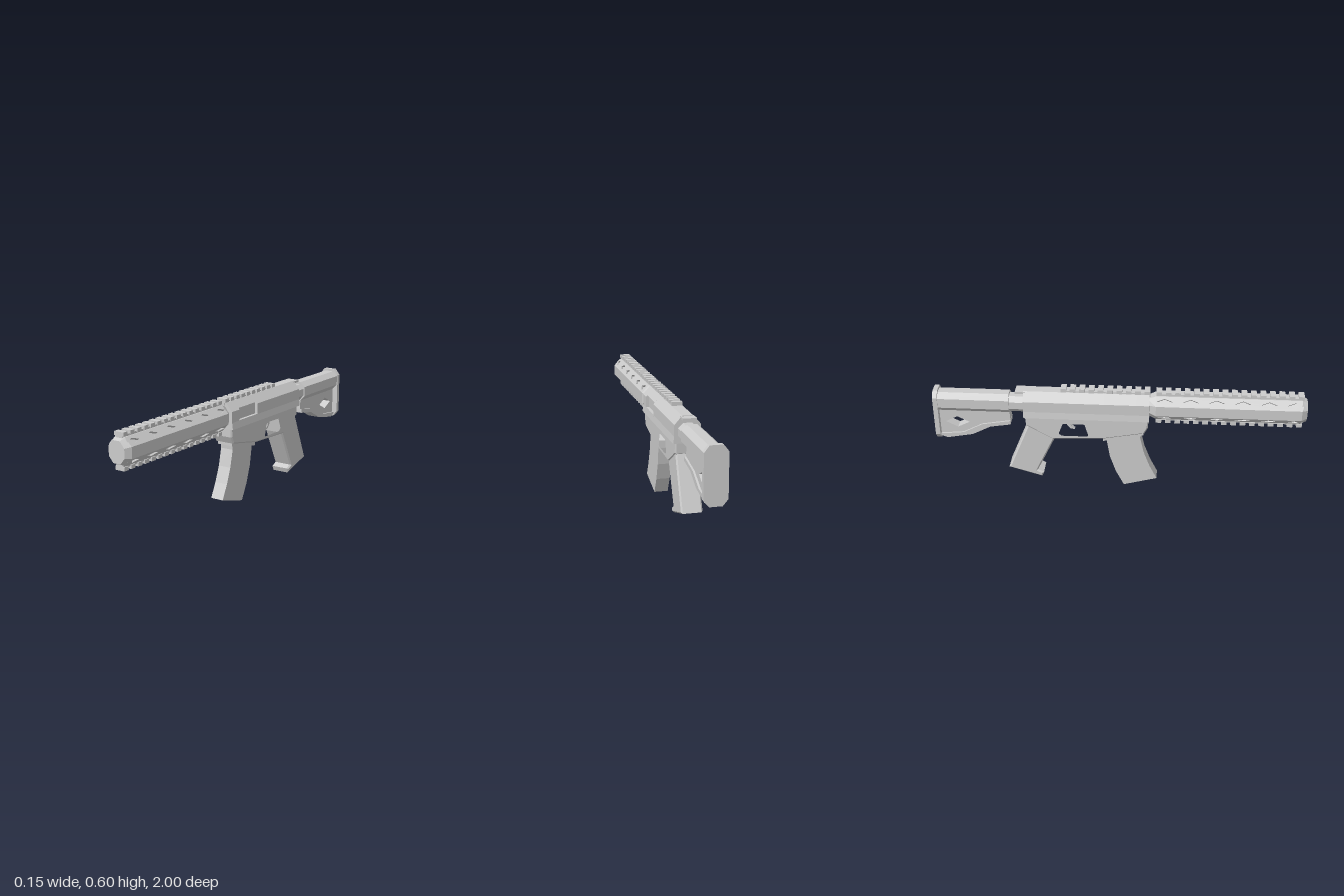
import * as THREE from 'three';

const material = new THREE.MeshStandardMaterial({ color: 0xcccccc, flatShading: true });

function add(parent, name, geometry) {
  const mesh = new THREE.Mesh(geometry, material);
  mesh.name = name;
  parent.add(mesh);
  return mesh;
}

const shapeOf = (pts) => new THREE.Shape(pts.map(([a, b]) => new THREE.Vector2(a, b)));
const holeOf = (pts) => new THREE.Path(pts.map(([a, b]) => new THREE.Vector2(a, b)));
const diamond = (u, v, ru, rv) => [[u - ru, v], [u, v - rv], [u + ru, v], [u, v + rv]];

// Side outline in (z, y), given thickness centred on x = 0, optional chamfer
function slab(pts, halfWidth, bevel = 0, holes = []) {
  const shape = shapeOf(pts);
  shape.holes = holes.map(holeOf);
  const depth = 2 * (halfWidth - bevel);
  const geo = new THREE.ExtrudeGeometry(shape, {
    depth, bevelEnabled: bevel > 0, bevelThickness: bevel, bevelSize: bevel,
    bevelOffset: -bevel, bevelSegments: 1, curveSegments: 4,
  });
  return geo.translate(0, 0, -depth / 2).rotateY(-Math.PI / 2);
}

// Cross-section in (x, y) run from z0 to z1
function prism(pts, z0, z1) {
  return new THREE.ExtrudeGeometry(shapeOf(pts), { depth: z1 - z0, bevelEnabled: false }).translate(0, 0, z0);
}

function box(w, y0, y1, z0, z1) {
  return new THREE.BoxGeometry(w, y1 - y0, z1 - z0).translate(0, (y0 + y1) / 2, (z0 + z1) / 2);
}

// Counter-clockwise octagon: half widths of sides and of flats, vertical extents
const octagon = (w, t, top, upper, lower, bottom) => [
  [w, lower], [w, upper], [t, top], [-t, top], [-w, upper], [-w, lower], [-t, bottom], [t, bottom],
];

// Closed loft between two octagons, z0 < z1
function loft(a, z0, b, z1) {
  const n = a.length, pos = [], idx = [];
  a.forEach(([x, y]) => pos.push(x, y, z0));
  b.forEach(([x, y]) => pos.push(x, y, z1));
  for (let i = 0; i < n; i++) {
    const j = (i + 1) % n;
    idx.push(i, j, n + j, i, n + j, n + i);
    if (i > 0 && i < n - 1) idx.push(0, i + 1, i, n, n + i, n + i + 1);
  }
  const geo = new THREE.BufferGeometry();
  geo.setAttribute('position', new THREE.Float32BufferAttribute(pos, 3));
  geo.setIndex(idx);
  const flat = geo.toNonIndexed();
  flat.computeVertexNormals();
  return flat;
}

// Toothed rail; dir is +1 for an upward rail and -1 for a downward one
function rail(parent, name, y, dir, z0, z1, count) {
  const group = new THREE.Group();
  group.name = name;
  parent.add(group);
  const span = (a, b) => (dir > 0 ? [y + a, y + b] : [y - b, y - a]);
  add(group, 'railBase', box(0.044, ...span(-0.01, 0.01), z0, z1));
  const step = (z1 - z0 - 0.03) / (count - 1);
  for (let i = 0; i < count; i++) {
    const z = z0 + i * step;
    add(group, 'railTooth', box(0.056, ...span(0.004, 0.024), z, z + 0.03));
  }
}

function buildHandguard(root) {
  const group = new THREE.Group();
  group.name = 'handguard';
  root.add(group);
  const cy = 0.501, W = 0.068, T = 0.028, U = 0.029, H = 0.07, inset = 0.012;
  const z0 = 0.2, z1 = 0.97, len = z1 - z0;
  const face = Math.hypot(W - T, H - U);
  const nx = (H - U) / face, ny = (W - T) / face;

  // Core with its four slanted sides sunk
  const core = [];
  for (const [sx, sy] of [[1, 1], [-1, 1], [-1, -1], [1, -1]]) {
    const corner = [
      [W, U], [W - nx * inset, U - ny * inset], [T - nx * inset, H - ny * inset], [T, H],
    ].map(([x, y]) => [sx * x, cy + sy * y]);
    core.push(...(sx * sy > 0 ? corner : corner.reverse()));
  }
  add(group, 'handguardCore', prism(core, z0, z1));

  // Slanted panels with diamond openings
  for (const sx of [1, -1]) for (const sy of [1, -1]) {
    const shape = shapeOf([[0, -face / 2], [len, -face / 2], [len, face / 2], [0, face / 2]]);
    for (let i = 0; i < 6; i++) shape.holes.push(holeOf(diamond(0.046 + i * 0.138, 0, 0.042, 0.016)));
    const geo = new THREE.ExtrudeGeometry(shape, { depth: inset, bevelEnabled: false });
    const n = new THREE.Vector3(sx * nx, sy * ny, 0);
    const m = new THREE.Matrix4().makeBasis(
      new THREE.Vector3(0, 0, 1), new THREE.Vector3(n.y, -n.x, 0), n);
    m.setPosition(sx * ((W + T) / 2 - nx * inset), cy + sy * ((H + U) / 2 - ny * inset), z0);
    add(group, 'handguardPanel', geo.applyMatrix4(m));
  }

  // Tapered ends
  const full = octagon(W, T, cy + H, cy + U, cy - U, cy - H);
  const front = octagon(0.048, 0.022, cy + 0.056, cy + 0.024, cy - 0.024, cy - 0.056);
  const rear = octagon(0.042, 0.022, cy + 0.05, cy + 0.022, cy - 0.022, cy - 0.05);
  add(group, 'handguardFrontEnd', loft(full, z1, front, 1));
  add(group, 'handguardRearEnd', loft(rear, 0.155, full, z0));

  rail(group, 'handguardTopRail', cy + H, 1, 0.2, 0.98, 16);
  rail(group, 'handguardBottomRail', cy - H, -1, 0.2, 0.98, 16);
}

function buildReceiver(root) {
  // Upper body in three lengths, the middle one notched on the left for the port
  const right = [[-0.028, 0.577], [-0.068, 0.532], [-0.068, 0.472], [-0.073, 0.435]];
  const left = [[0.073, 0.435], [0.068, 0.472], [0.068, 0.532], [0.028, 0.577]];
  const notched = [[0.073, 0.435], [0.068, 0.474], [0.052, 0.474], [0.052, 0.54], [0.061, 0.54], [0.028, 0.577]];
  add(root, 'upperReceiverFront', prism([...left, ...right], 0.095, 0.165));
  add(root, 'upperReceiverPort', prism([...notched, ...right], -0.075, 0.095));
  add(root, 'upperReceiverRear', prism([...left, ...right], -0.51, -0.075));
  rail(root, 'receiverRail', 0.573, 1, -0.31, 0.168, 10);
  add(root, 'rearHandle', box(0.07, 0.562, 0.574, -0.555, -0.5));

  // Lower body with the guard opening
  add(root, 'lowerReceiver', slab([
    [0.162, 0.445], [0.16, 0.39], [0.14, 0.352], [-0.085, 0.31], [-0.36, 0.3], [-0.5, 0.38], [-0.505, 0.445],
  ], 0.061, 0.007, [[
    [-0.175, 0.4], [-0.155, 0.33], [-0.165, 0.317], [-0.31, 0.317], [-0.332, 0.335], [-0.305, 0.405], [-0.19, 0.408],
  ]]));
  add(root, 'magazineCollar', slab([[0.135, 0.365], [0.135, 0.335], [-0.085, 0.29], [-0.085, 0.33]], 0.047));

  // Curved trigger
  add(root, 'trigger', slab([
    [-0.255, 0.42], [-0.265, 0.38], [-0.26, 0.355], [-0.24, 0.338], [-0.265, 0.343], [-0.282, 0.365], [-0.285, 0.42],
  ], 0.012));

  add(root, 'grip', slab([
    [-0.33, 0.4], [-0.345, 0.305], [-0.448, 0.088], [-0.415, 0.072], [-0.425, 0.045], [-0.608, 0.1],
    [-0.488, 0.39], [-0.49, 0.42],
  ], 0.056, 0.008));

  // Curved magazine
  add(root, 'magazine', slab([
    [0.12, 0.345], [0.118, 0.31], [0.14, 0.215], [0.172, 0.13], [0.212, 0.05], [0.03, 0.0],
    [-0.015, 0.09], [-0.047, 0.185], [-0.063, 0.28], [-0.065, 0.33],
  ], 0.038));
}

function buildStock(root) {
  const group = new THREE.Group();
  group.name = 'stock';
  root.add(group);
  add(group, 'stockTube', prism(octagon(0.048, 0.022, 0.54, 0.515, 0.475, 0.447), -0.61, -0.5));
  add(group, 'stockSleeve', prism(octagon(0.056, 0.025, 0.553, 0.527, 0.473, 0.44), -0.98, -0.59));

  // Web with a diamond opening, and the thicker foot below it
  add(group, 'stockWeb', slab([
    [-0.592, 0.46], [-0.588, 0.38], [-0.74, 0.355], [-0.85, 0.3], [-0.98, 0.285], [-0.98, 0.46],
  ], 0.028, 0, [diamond(-0.88, 0.372, 0.065, 0.033)]));
  add(group, 'stockFoot', slab([
    [-0.588, 0.392], [-0.588, 0.37], [-0.7, 0.352], [-0.8, 0.3], [-0.94, 0.274], [-0.98, 0.288],
    [-0.98, 0.297], [-0.85, 0.31], [-0.745, 0.365],
  ], 0.038));
  add(group, 'buttPlate', prism(octagon(0.06, 0.033, 0.566, 0.532, 0.305, 0.272), -1, -0.975));
}

export function createModel() {
  const root = new THREE.Group();
  root.name = 'model';
  buildHandguard(root);
  buildReceiver(root);
  buildStock(root);
  return root;
}
